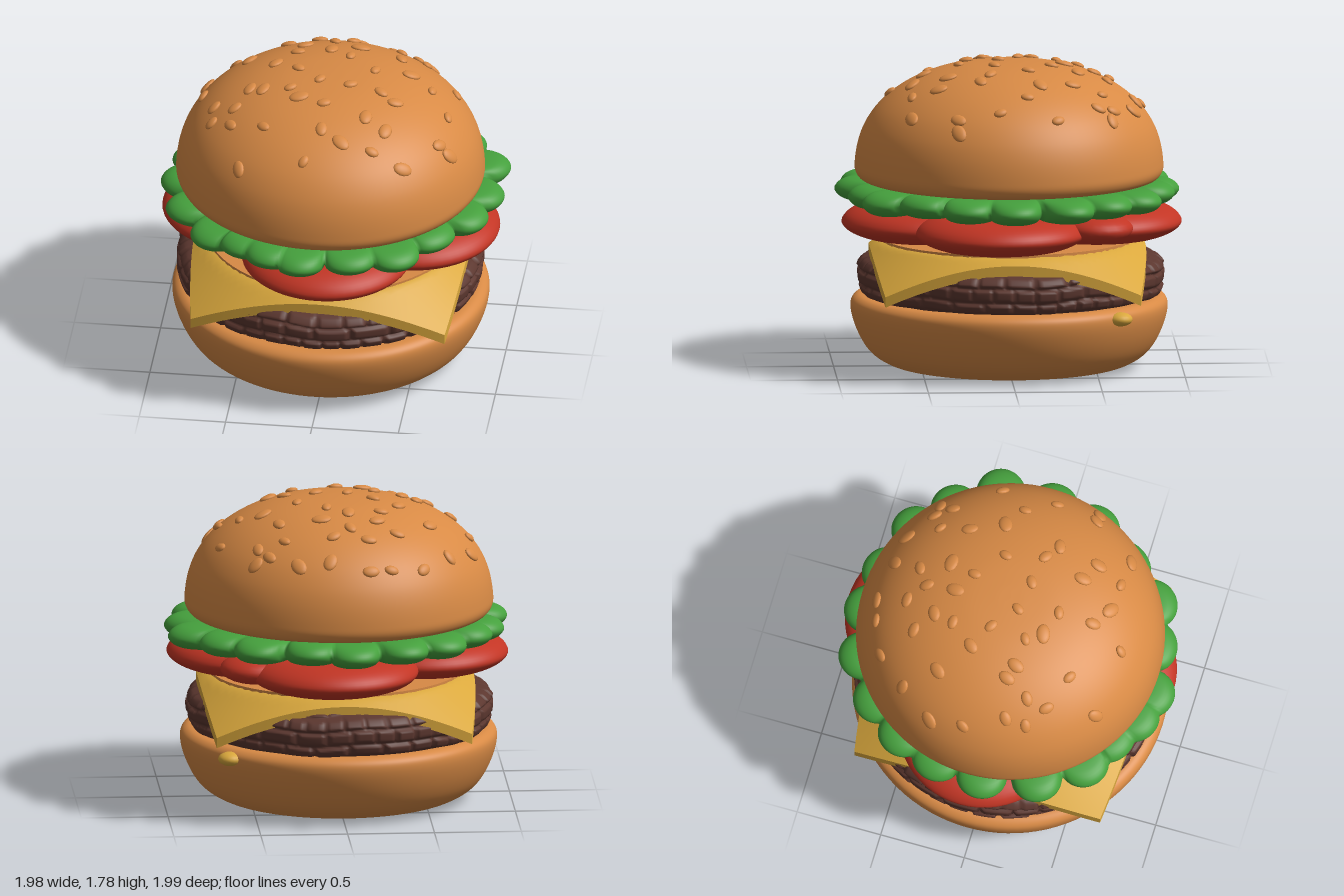
import * as THREE from 'three';
import { mergeVertices } from 'three/addons/utils/BufferGeometryUtils.js';

const mat = (name, color) => {
  const m = new THREE.MeshStandardMaterial({ color });
  m.name = name;
  return m;
};

// Smooth profile through a few [radius, y] points, closed flat to the axis at both ends
function profile(points, n = 40) {
  const curve = new THREE.CatmullRomCurve3(points.map(([r, y]) => new THREE.Vector3(r, y, 0)), false, 'centripetal');
  const pts = curve.getPoints(n).map(p => new THREE.Vector2(Math.max(p.x, 0), p.y));
  const first = pts[0], last = pts[pts.length - 1];
  if (first.x > 0) pts.unshift(new THREE.Vector2(0, first.y));
  if (last.x > 0) pts.push(new THREE.Vector2(0, last.y));
  return pts;
}

// Lathe whose vertices are moved by rule(radius, y, angle) -> [radius, y]
function sculptedLathe(pts, segments, rule) {
  let g = new THREE.LatheGeometry(pts, segments);
  const p = g.attributes.position;
  for (let i = 0; i < p.count; i++) {
    const x = p.getX(i), z = p.getZ(i), a = Math.atan2(x, z);
    const [r, y] = rule(Math.hypot(x, z), p.getY(i), a);
    p.setXYZ(i, r * Math.sin(a), y, r * Math.cos(a));
  }
  g.deleteAttribute('uv');
  g.deleteAttribute('normal');
  g = mergeVertices(g, 1e-5);
  g.computeVertexNormals();
  return g;
}

export function createModel() {
  const group = new THREE.Group();
  const bun = mat('bun', 0xd88a45);
  const meat = mat('meat', 0x5c372f);
  const cheese = mat('cheese', 0xdaa83d);
  const tomato = mat('tomato', 0xc23524);
  const lettuce = mat('lettuce', 0x45a03d);

  const add = (name, geometry, material, x = 0, y = 0, z = 0) => {
    const mesh = new THREE.Mesh(geometry, material);
    mesh.name = name;
    mesh.position.set(x, y, z);
    group.add(mesh);
    return mesh;
  };
  const hash = n => { const s = Math.sin(n * 12.9898) * 43758.5453; return s - Math.floor(s); };

  // Bottom bun
  add('bottomBun', new THREE.LatheGeometry(profile([
    [0.58, 0], [0.7, 0.025], [0.8, 0.09], [0.87, 0.2], [0.91, 0.33], [0.905, 0.385], [0.87, 0.415], [0.8, 0.42],
  ]), 96), bun, -0.015, 0, -0.01);

  // Patty: three rows of lumps separated by wavy grooves
  const rowEdges = [0.415, 0.49, 0.575, 0.65];
  const pattyGeo = sculptedLathe(profile([
    [0.79, 0.405], [0.85, 0.425], [0.875, 0.48], [0.885, 0.54], [0.88, 0.59], [0.84, 0.635], [0.77, 0.665],
  ], 36), 360, (r, y, a) => {
    if (r < 0.7) return [r, y];
    const yw = y + 0.008 * Math.sin(5 * a) + 0.005 * Math.sin(11 * a + 1);
    const row = yw < rowEdges[1] ? 0 : yw < rowEdges[2] ? 1 : 2;
    const dRow = Math.min(...rowEdges.map(e => Math.abs(yw - e)));
    const count = [37, 34, 39][row];
    const t = ((a / (2 * Math.PI) + 0.5) * count + 0.6 * Math.sin(3 * a + row * 2) + row * 0.4 + count) % count;
    const f = t - Math.floor(t);
    const dSeam = Math.min(f, 1 - f) * 5.5 / count;
    const groove = 1 - THREE.MathUtils.smoothstep(Math.min(dRow, dSeam), 0, 0.018);
    return [r - 0.026 * groove + 0.012 * (hash(Math.floor(t) + row * 50) - 0.5) * (1 - groove), y];
  });
  add('patty', pattyGeo, meat, -0.02, 0, -0.02);

  // Cheese: square slice draped so that its corners hang down
  const half = 0.735;
  const sliceGeo = new THREE.BoxGeometry(half * 2, 0.06, half * 2, 40, 2, 40);
  const cp = sliceGeo.attributes.position;
  for (let i = 0; i < cp.count; i++) {
    const u = cp.getX(i) / half, v = cp.getZ(i) / half;
    const x = u * half * (1 + 0.08 * (1 - v * v)), z = v * half * (1 + 0.08 * (1 - u * u));
    const d = Math.max(0, Math.hypot(x, z) - 0.74);
    cp.setXYZ(i, x, cp.getY(i) + 0.71 - 0.72 * d - 0.1 * d * d, z);
  }
  sliceGeo.computeVertexNormals();
  add('cheeseSlice', sliceGeo, cheese);

  // Drop of melted cheese on the bottom bun
  const drip = add('cheeseDrip', new THREE.SphereGeometry(1, 20, 14), cheese, 0.65, 0.365, -0.62);
  drip.scale.set(0.07, 0.04, 0.07);

  // Sauce over the cheese
  add('sauce', new THREE.CylinderGeometry(0.73, 0.73, 0.02, 64), bun, 0, 0.743, 0);

  // Dark filling seen between the tomato slices
  add('filling', new THREE.LatheGeometry(profile([
    [0.5, 0.75], [0.6, 0.79], [0.65, 0.87], [0.62, 0.94], [0.5, 0.96],
  ], 16), 48), meat);

  // Tomato slices
  const tomatoGeo = new THREE.LatheGeometry(profile([
    [0.24, -0.103], [0.36, -0.088], [0.46, -0.045], [0.49, -0.005], [0.46, 0.045], [0.37, 0.09], [0.25, 0.105],
  ], 24), 56);
  [[0.02, 0.465], [0.48, 0.06], [0.05, -0.51], [-0.5, -0.03]].forEach(([x, z], i) =>
    add('tomatoSlice' + (i + 1), tomatoGeo, tomato, x, 0.85, z));
  const piece = add('tomatoPiece', new THREE.SphereGeometry(1, 24, 16), tomato, 0.5, 0.87, -0.5);
  piece.scale.set(0.2, 0.085, 0.2);

  // Lettuce: one leaf ring with a rounded lobe towards each tip [x, z]
  const tips = [
    [0.98, -0.37], [0.99, -0.01], [0.92, 0.3], [0.72, 0.58], [0.51, 0.83], [0.22, 0.92], [-0.11, 0.99],
    [-0.31, 0.94], [-0.5, 0.82], [-0.71, 0.7], [-0.91, 0.43], [-0.99, 0.07], [-0.95, -0.25], [-0.85, -0.52],
    [-0.66, -0.75], [-0.39, -0.93], [-0.06, -0.99], [0.23, -0.95], [0.57, -0.84], [0.79, -0.63],
  ].map(([x, z]) => ({ a: Math.atan2(x, z), r: Math.hypot(x, z) }));
  const lettuceGeo = sculptedLathe(profile([
    [0.6, -0.045], [0.8, -0.06], [0.92, -0.055], [0.98, -0.03], [1, 0], [0.98, 0.03], [0.92, 0.055], [0.8, 0.06], [0.6, 0.045],
  ], 28), 400, (r, y, a) => {
    let bulge = 0, reach = 0.83, lift = 0;
    tips.forEach((tip, i) => {
      const d = Math.abs(Math.atan2(Math.sin(a - tip.a), Math.cos(a - tip.a)));
      const s = Math.sqrt(Math.max(0, 1 - (d / 0.175) ** 2));
      const out = 0.83 + (tip.r - 0.83) * s;
      if (out > reach) { reach = out; bulge = s; lift = (hash(i + 3) - 0.5) * 0.035 * s; }
    });
    const k = THREE.MathUtils.smoothstep(r, 0.6, 0.95);
    return [r * THREE.MathUtils.lerp(0.83, reach, k), 1.02 + y * (1 + k * (0.35 * bulge - 0.2)) + lift * k];
  });
  add('lettuce', lettuceGeo, lettuce);

  // Top bun
  const bunX = -0.017, bunZ = -0.01;
  const domePts = profile([
    [0.8, 1.085], [0.86, 1.1], [0.885, 1.14], [0.885, 1.2], [0.865, 1.31], [0.825, 1.41], [0.75, 1.515],
    [0.63, 1.615], [0.47, 1.695], [0.28, 1.745], [0.1, 1.762], [0, 1.764],
  ], 60);
  add('topBun', new THREE.LatheGeometry(domePts, 96), bun, bunX, 0, bunZ);

  // Sesame seeds, x and z in hundredths, lying on the dome
  const spots = [
    -27, -74, -15, -77, 8, -73, 26, -71, -46, -66, -15, -59, 5, -57, -62, -48, -32, -50, -5, -50, 33, -53,
    42, -59, 50, -58, 48, -50, -21, -41, 11, -40, -52, -30, -76, -28, -24, -29, -5, -33, 35, -36, 7, -25,
    68, -26, -35, -15, 43, -17, -76, -8, -21, -7, 23, -11, 56, -9, -7, 5, 11, 8, 29, 11, 38, 17, 67, 7,
    -47, 10, -39, 13, -23, 14, -67, 15, -67, 27, -54, 24, -55, 36, -17, 23, -2, 28, 23, 35, 35, 41,
    -35, 44, -1, 48, 11, 55, 29, 56, 47, 57, 65, 31, 71, 31, -47, 63, -9, 67,
  ];
  const seedGeo = new THREE.SphereGeometry(1, 14, 10);
  const up = new THREE.Vector3(0, 1, 0);
  const seeds = new THREE.Group();
  seeds.name = 'sesameSeeds';
  for (let i = 0; i < spots.length; i += 2) {
    const x = spots[i] / 100, z = spots[i + 1] / 100;
    const dx = x - bunX, dz = z - bunZ, r = Math.hypot(dx, dz);
    let j = domePts.length - 1;
    while (domePts[j].x < r) j--;
    const lo = domePts[j], hi = domePts[j + 1];
    const y = lo.y + (hi.y - lo.y) * (lo.x - r) / (lo.x - hi.x);
    const normal = new THREE.Vector3(dx / r * (hi.y - lo.y), lo.x - hi.x, dz / r * (hi.y - lo.y)).normalize();
    const seed = new THREE.Mesh(seedGeo, bun);
    seed.name = 'seed';
    seed.position.set(x, y, z).addScaledVector(normal, 0.004);
    seed.quaternion.setFromUnitVectors(up, normal)
      .multiply(new THREE.Quaternion().setFromAxisAngle(up, hash(i) * Math.PI));
    const size = 0.75 + 0.4 * hash(i + 7);
    seed.scale.set(0.052 * size, 0.018, 0.036 * size);
    seeds.add(seed);
  }
  group.add(seeds);

  return group;
}
